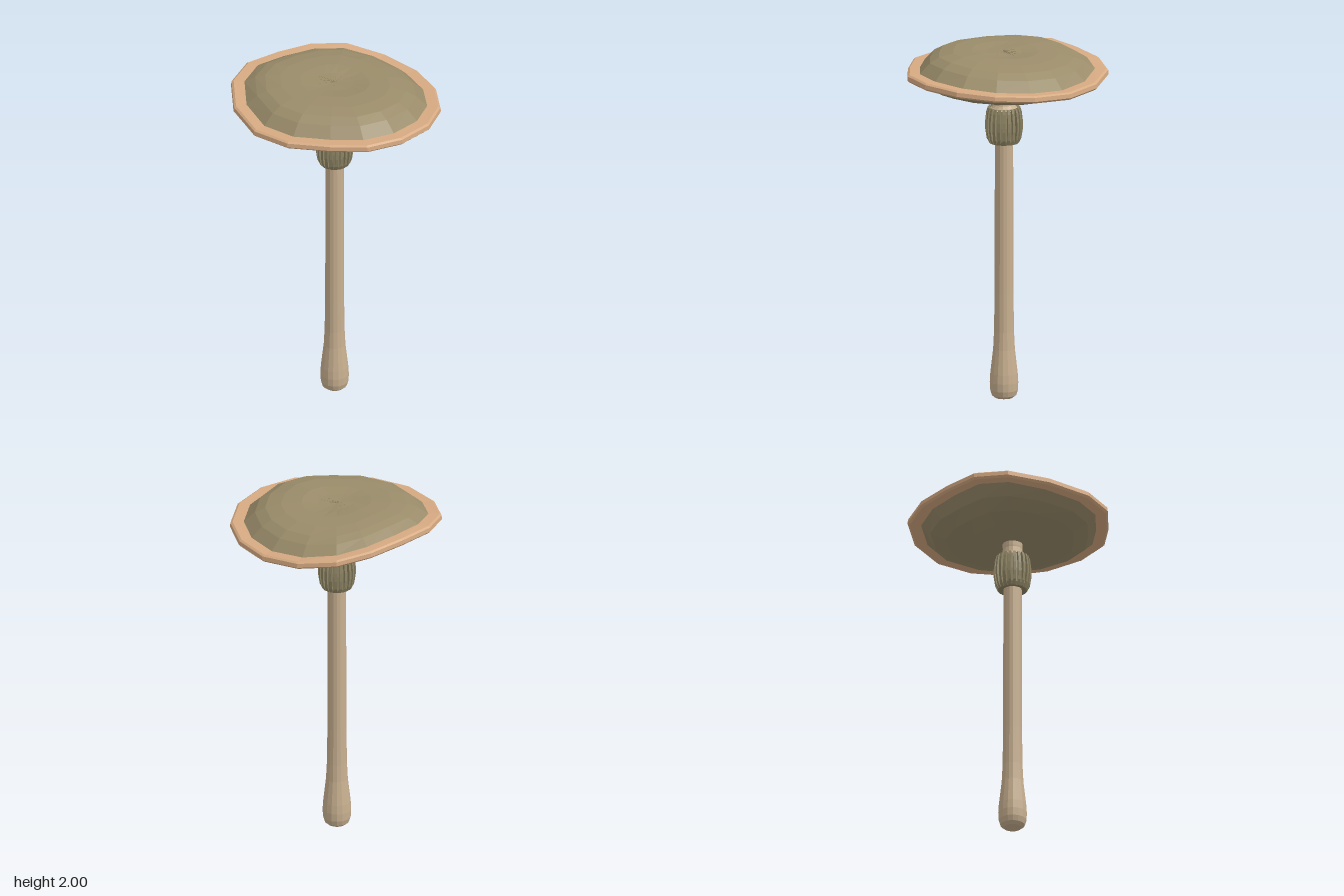
import * as THREE from 'three';

const CX = -0.03; // the stem axis sits slightly off centre

// Uneven rim outline seen from above (x, z), starting at the back
const OUTLINE = [
  [-0.02, -0.585], [0.205, -0.54], [0.395, -0.42], [0.52, -0.235],
  [0.56, -0.01], [0.51, 0.2], [0.37, 0.36], [0.19, 0.52],
  [-0.03, 0.58], [-0.285, 0.52], [-0.48, 0.38], [-0.565, 0.2],
  [-0.56, -0.01], [-0.53, -0.235], [-0.44, -0.42], [-0.25, -0.54],
];
const INNER = 0.872; // cap edge as a fraction of the rim outline

// Height of the wavy rim: tips back, lifts on the model's right
const rimY = (x, z) => 1.85 + 0.035 * z + (x < 0 ? 0.065 : 0.018) * (x / 0.56) ** 2;

const material = (color) => new THREE.MeshStandardMaterial({
  color, flatShading: true, roughness: 0.9, side: THREE.DoubleSide,
});

function add(parent, name, geometry, mat) {
  const mesh = new THREE.Mesh(geometry, mat);
  mesh.name = name;
  parent.add(mesh);
  return mesh;
}

// Skin rings of scaled outline, from top to bottom; height(x, z, edgeY, value) gives y
function loft(rings, height) {
  const n = OUTLINE.length, pos = [], index = [];
  for (const [t, value] of rings) {
    for (const [ox, oz] of OUTLINE) {
      const x = CX + (ox - CX) * t, z = oz * t;
      pos.push(x, height(x, z, rimY(ox, oz), value), z);
    }
  }
  for (let r = 0; r < rings.length - 1; r++) {
    for (let i = 0; i < n; i++) {
      const a = r * n + i, b = r * n + (i + 1) % n;
      index.push(a, b, b + n, a, b + n, a + n);
    }
  }
  const g = new THREE.BufferGeometry();
  g.setAttribute('position', new THREE.Float32BufferAttribute(pos, 3));
  g.setIndex(index);
  g.computeVertexNormals();
  return g;
}

const lathe = (points, sides) =>
  new THREE.LatheGeometry(points.map(([r, y]) => new THREE.Vector2(r, y)), sides);

export function createModel() {
  const model = new THREE.Group();
  model.name = 'mushroom';
  const capMat = material(0x9a8c6a);
  const rimMat = material(0xd6aa82);
  const stemMat = material(0xc8b090);
  const collarMat = material(0x8f8565);

  // Cap: domed top with a shallow dent, and a bowl-shaped underside
  const cap = new THREE.Group();
  cap.name = 'cap';
  model.add(cap);

  const topRings = [[0.001, 0.86], [0.2, 0.89], [0.38, 0.98], [0.6, 0.96], [0.77, 0.81], [0.88, 0.54], [1, 0]];
  add(cap, 'capTop', loft(topRings.map(([s, b]) => [s * INNER, b]), (x, z, edge, b) => {
    const crown = 2.0 - 0.09 * Math.max(0, -z);
    return THREE.MathUtils.lerp(edge + 0.02, crown, b);
  }), capMat);

  const underRings = [[1, 0], [0.9, 0.42], [0.73, 0.74], [0.48, 0.91], [0.2, 0.98], [0.001, 1]];
  add(cap, 'capUnderside', loft(underRings.map(([s, b]) => [s * INNER, b]), (x, z, edge, b) =>
    THREE.MathUtils.lerp(edge - 0.02, 1.742, b)), capMat);

  // Rim: bevelled band around the cap
  const rimRings = [[INNER - 0.01, 0.021], [0.975, 0.021], [0.995, 0.013], [1, -0.01], [0.98, -0.021], [INNER - 0.01, -0.021]];
  add(cap, 'capRim', loft(rimRings, (x, z, edge, offset) => edge + offset), rimMat);

  // Stem: slim shaft with a swollen foot
  const stem = add(model, 'stem', lathe([
    [0, 0], [0.05, 0], [0.069, 0.015], [0.078, 0.045], [0.08, 0.09], [0.077, 0.14],
    [0.069, 0.21], [0.061, 0.28], [0.056, 0.38], [0.053, 0.6], [0.051, 1.68],
    [0.055, 1.72], [0.056, 1.76],
  ], 16), stemMat);
  stem.position.x = CX;

  // Collar: solid core with upright gills around it
  const collar = new THREE.Group();
  collar.name = 'collar';
  collar.position.x = CX;
  model.add(collar);
  add(collar, 'collarCore', lathe([
    [0.048, 1.465], [0.08, 1.46], [0.089, 1.48], [0.092, 1.56], [0.082, 1.655], [0.05, 1.66],
  ], 20), collarMat);
  add(collar, 'collarNeck', lathe([
    [0.088, 1.655], [0.07, 1.665], [0.059, 1.68], [0.055, 1.71],
  ], 16), stemMat);

  const gillShape = new THREE.Shape([
    [0.05, 1.465], [0.083, 1.462], [0.097, 1.49], [0.105, 1.54],
    [0.105, 1.59], [0.099, 1.64], [0.091, 1.665], [0.05, 1.66],
  ].map(([r, y]) => new THREE.Vector2(r, y)));
  const gill = new THREE.ExtrudeGeometry(gillShape, { depth: 0.015, bevelEnabled: false });
  gill.translate(0, 0, -0.0075);
  const gills = 22;
  for (let i = 0; i < gills; i++) {
    add(collar, 'collarGill', gill, collarMat).rotation.y = (i / gills) * Math.PI * 2;
  }
  return model;
}
